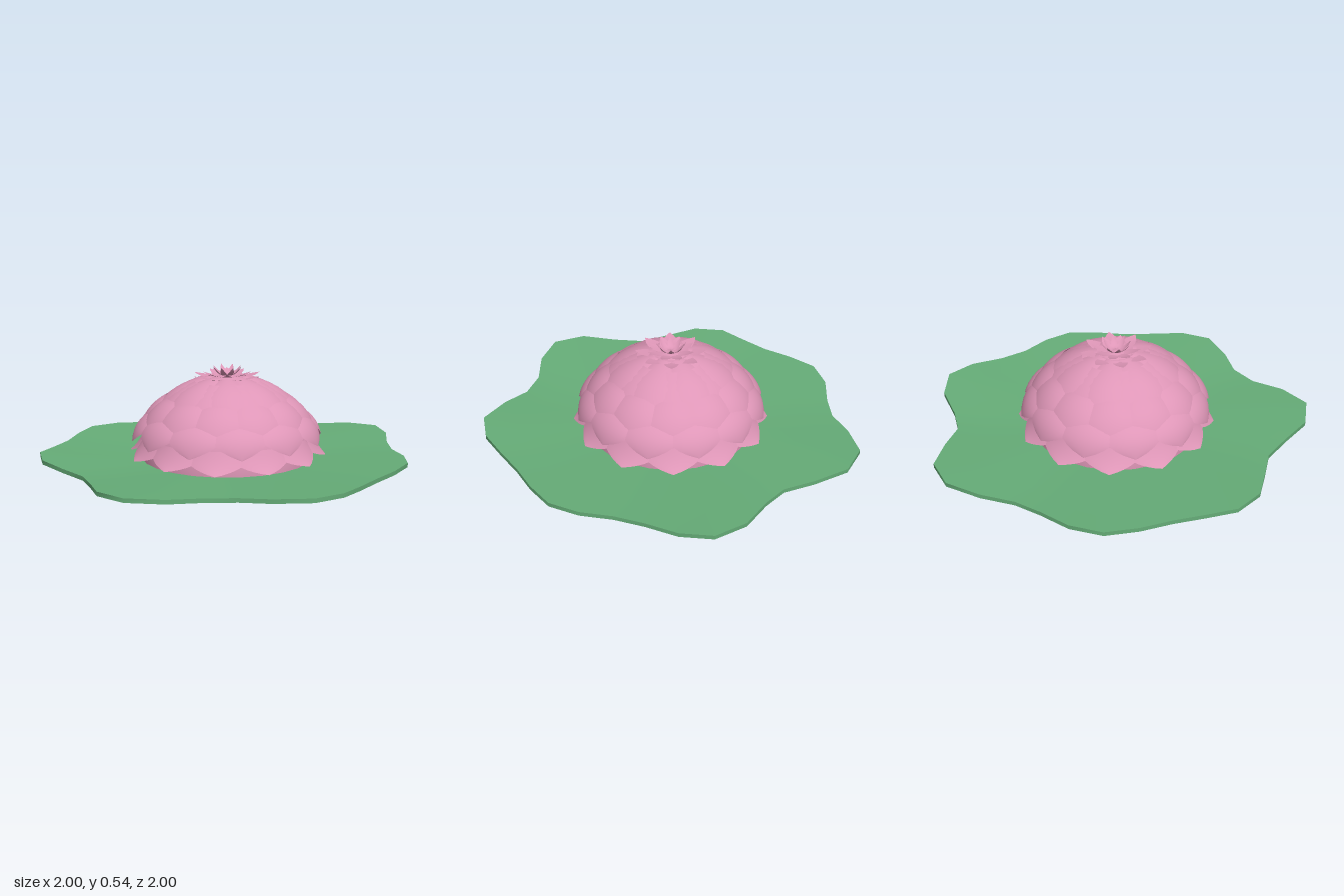
import * as THREE from 'three';

const petalPink = new THREE.MeshStandardMaterial({ color: 0xde96b7, side: THREE.DoubleSide });
petalPink.name = 'petalPink';
const leafGreen = new THREE.MeshStandardMaterial({ color: 0x66ad78, side: THREE.DoubleSide });
leafGreen.name = 'leafGreen';

const CX = -0.03, CZ = -0.02; // shared centre of flower and leaf

// Grid surface from a rule fn(u, v) -> [x, y, z]
function surface(rows, cols, fn) {
  const pos = [], idx = [];
  for (let i = 0; i <= rows; i++)
    for (let j = 0; j <= cols; j++) pos.push(...fn(i / rows, j / cols));
  for (let i = 0; i < rows; i++)
    for (let j = 0; j < cols; j++) {
      const a = i * (cols + 1) + j, b = a + cols + 1;
      idx.push(a, b, a + 1, a + 1, b, b + 1);
    }
  const g = new THREE.BufferGeometry();
  g.setAttribute('position', new THREE.Float32BufferAttribute(pos, 3));
  g.setIndex(idx);
  g.computeVertexNormals();
  return g;
}

// Petal: a pointed patch following a curve [radius, height] from root to tip
function petalGeometry(root, ctrl, tip, halfWidth, bulge, power) {
  const curve = new THREE.QuadraticBezierCurve(
    new THREE.Vector2(...root), new THREE.Vector2(...ctrl), new THREE.Vector2(...tip));
  return surface(8, 8, (u, v) => {
    const p = curve.getPoint(u), s = v * 2 - 1;
    const t = Math.max(0, (u - 0.35) / 0.65);
    const a = s * halfWidth * (1 - Math.pow(t, power));
    const r = p.x - bulge * s * s * (1 - t);
    return [r * Math.sin(a), p.y - bulge * 0.5 * s * s * (1 - t), r * Math.cos(a)];
  });
}

// Rings of petals, outermost first
const RINGS = [
  { name: 'basePetal', n: 12, shift: 0, root: [0.45, 0.18], ctrl: [0.49, 0.1], tip: [0.53, 0.07], wide: 1.25, bulge: 0.01, power: 1.2 },
  { name: 'outerPetal', n: 12, shift: 0.5, root: [0.41, 0.3], ctrl: [0.5, 0.25], tip: [0.512, 0.145], wide: 1.25, bulge: 0.012, power: 2 },
  { name: 'middlePetal', n: 12, shift: 0, root: [0.33, 0.38], ctrl: [0.43, 0.33], tip: [0.472, 0.215], wide: 1.25, bulge: 0.012, power: 2 },
  { name: 'upperPetal', n: 8, shift: 0, root: [0.18, 0.465], ctrl: [0.34, 0.4], tip: [0.405, 0.285], wide: 1.2, bulge: 0.01, power: 1.8 },
  { name: 'innerPetal', n: 8, shift: 0.5, root: [0.1, 0.485], ctrl: [0.3, 0.455], tip: [0.41, 0.285], wide: 1.1, bulge: 0.01, power: 1.7 },
  { name: 'crownPetal', n: 8, shift: 0, root: [0.04, 0.475], ctrl: [0.12, 0.475], tip: [0.19, 0.495], wide: 1.1, bulge: 0.004, power: 1.2 },
  { name: 'crownInnerPetal', n: 8, shift: 0.5, root: [0.03, 0.485], ctrl: [0.08, 0.485], tip: [0.13, 0.51], wide: 1.1, bulge: 0.004, power: 1.2 },
  { name: 'budPetal', n: 8, shift: 0, root: [0.02, 0.49], ctrl: [0.05, 0.49], tip: [0.08, 0.54], wide: 1.1, bulge: 0.003, power: 1.2 },
];

function buildFlower() {
  const flower = new THREE.Group();
  flower.name = 'flower';
  // Solid heart filling the gaps between petals
  const profile = [[0.46, 0.05], [0.46, 0.14], [0.43, 0.22], [0.37, 0.31], [0.28, 0.385], [0.16, 0.45], [0.05, 0.485], [0, 0.49]];
  const heart = new THREE.Mesh(
    new THREE.LatheGeometry(profile.map(p => new THREE.Vector2(...p)), 24), petalPink);
  heart.name = 'flowerHeart';
  flower.add(heart);

  for (const k of RINGS) {
    const ring = new THREE.Group();
    ring.name = k.name + 'Ring';
    const geo = petalGeometry(k.root, k.ctrl, k.tip, k.wide * Math.PI / k.n, k.bulge, k.power);
    for (let i = 0; i < k.n; i++) {
      const petal = new THREE.Mesh(geo, petalPink);
      petal.name = k.name;
      petal.rotation.y = (i + k.shift) * 2 * Math.PI / k.n;
      ring.add(petal);
    }
    flower.add(ring);
  }
  flower.position.set(CX, 0, CZ);
  return flower;
}

// Leaf outline seen from above, as [x, z]
const OUTLINE = [
  [1, -0.2], [0.9, -0.36], [0.73, -0.47], [0.62, -0.57], [0.57, -0.73], [0.49, -0.91],
  [0.33, -1], [0.14, -0.97], [-0.03, -0.91], [-0.18, -0.905], [-0.36, -0.92], [-0.53, -0.875],
  [-0.65, -0.75], [-0.75, -0.61], [-0.86, -0.49], [-0.97, -0.37], [-1, -0.2], [-0.94, -0.03],
  [-0.88, 0.13], [-0.89, 0.3], [-0.915, 0.49], [-0.84, 0.66], [-0.66, 0.73], [-0.47, 0.735],
  [-0.32, 0.79], [-0.2, 0.9], [-0.03, 1], [0.14, 0.97], [0.28, 0.88], [0.43, 0.78],
  [0.58, 0.7], [0.72, 0.6], [0.79, 0.45], [0.82, 0.28], [0.88, 0.13], [0.97, -0.03],
];

function buildLeaf() {
  const leaf = new THREE.Group();
  leaf.name = 'leaf';
  const N = OUTLINE.length, THICK = 0.022;
  // Shallow bowl whose lobes rise a little towards the rim
  const point = (t, v, lift) => {
    const [x, z] = OUTLINE[Math.round(v * N) % N];
    const dx = x - CX, dz = z - CZ, R = Math.hypot(dx, dz);
    return [CX + dx * t, 0.05 * R * t + (R - 0.9) * 0.08 * t * t + lift, CZ + dz * t];
  };
  const parts = {
    leafTop: surface(6, N, (u, v) => point(u, v, THICK)),
    leafUnderside: surface(6, N, (u, v) => point(1 - u, v, 0)),
    leafRim: surface(1, N, (u, v) => point(1, v, THICK * (1 - u))),
  };
  for (const [name, geo] of Object.entries(parts)) {
    const mesh = new THREE.Mesh(geo, leafGreen);
    mesh.name = name;
    leaf.add(mesh);
  }
  return leaf;
}

export function createModel() {
  const model = new THREE.Group();
  model.name = 'waterLily';
  model.add(buildLeaf(), buildFlower());
  return model;
}
